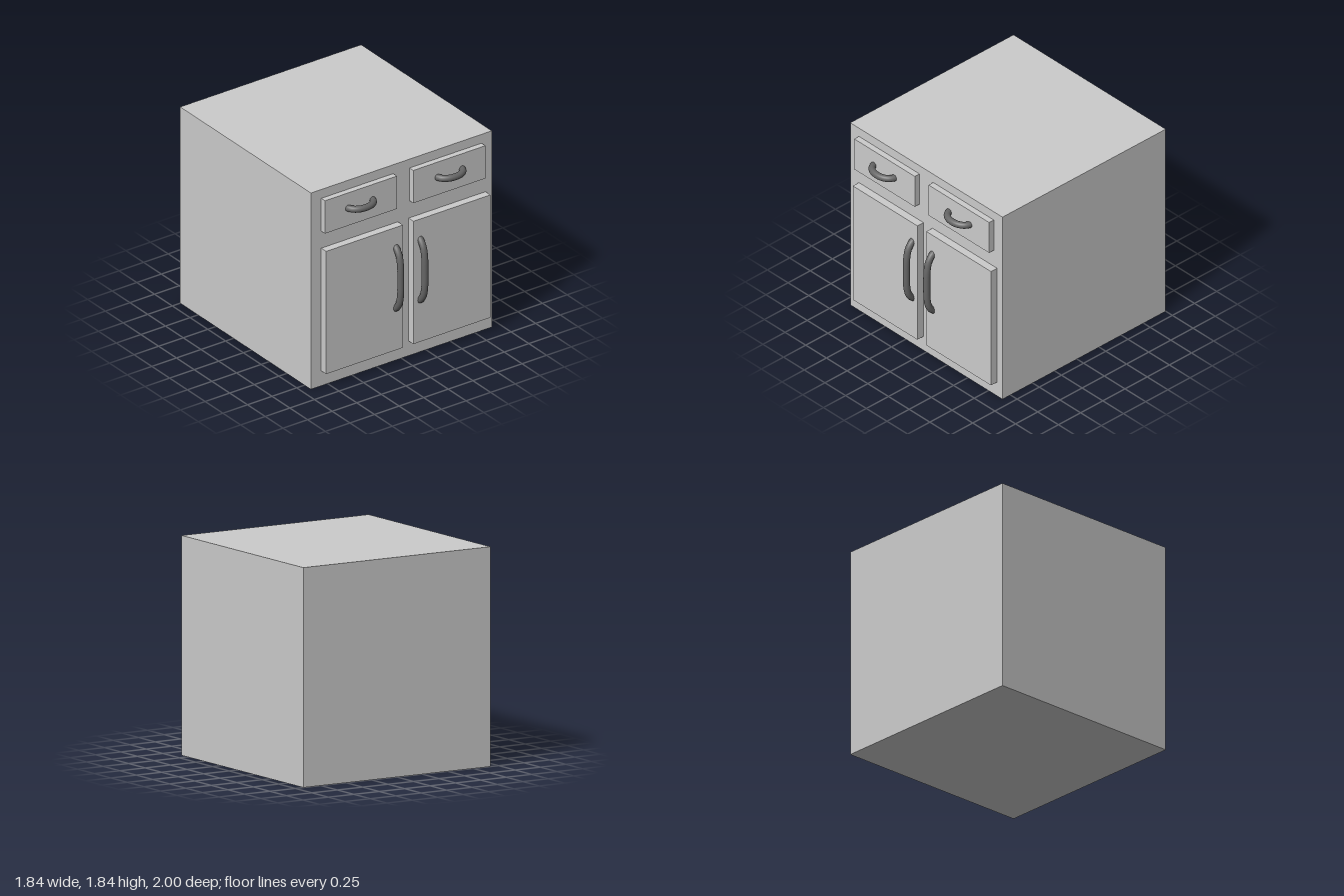
import * as THREE from 'three';

const bodyMat = new THREE.MeshStandardMaterial({ color: 0xcccccc });
const handleMat = new THREE.MeshStandardMaterial({ color: 0x666666 });

// Box given by its low and high corners
function slab(name, [x0, y0, z0], [x1, y1, z1]) {
  const mesh = new THREE.Mesh(new THREE.BoxGeometry(x1 - x0, y1 - y0, z1 - z0), bodyMat);
  mesh.position.set((x0 + x1) / 2, (y0 + y1) / 2, (z0 + z1) / 2);
  mesh.name = name;
  return mesh;
}

// Bowed bar along x, its ends sunk into the panel behind it
function handle(name, x, y, z, profile) {
  const right = profile.map(([u, d]) => new THREE.Vector3(u, 0, d));
  const left = right.slice(1).reverse().map((p) => new THREE.Vector3(-p.x, 0, p.z));
  const curve = new THREE.CatmullRomCurve3([...left, ...right]);
  const mesh = new THREE.Mesh(new THREE.TubeGeometry(curve, 32, 0.029, 16), handleMat);
  mesh.position.set(x, y, z);
  mesh.name = name;
  return mesh;
}

export function createModel() {
  const cabinet = new THREE.Group();
  cabinet.name = 'cabinet';
  cabinet.add(slab('carcass', [-0.92, 0, -1], [0.92, 1.84, 0.84]));

  // Half profiles: distance along the bar, depth in front of the panel
  const drawerBow = [[0, 0.08], [0.06, 0.07], [0.105, 0.04], [0.125, 0], [0.126, -0.03]];
  const doorBow = [[0, 0.062], [0.15, 0.057], [0.23, 0.037], [0.28, 0], [0.295, -0.03]];

  // Drawers, one on each side
  for (const [side, s] of [['left', 1], ['right', -1]]) {
    const cx = s * 0.449;
    cabinet.add(slab(side + 'DrawerFront', [cx - 0.366, 1.45, 0.84], [cx + 0.366, 1.757, 0.893]));
    cabinet.add(handle(side + 'DrawerHandle', s * 0.455, 1.615, 0.891, drawerBow));
  }

  // Doors, with upright handles near the middle
  for (const [side, x0, x1, hx] of [['left', 0.073, 0.855, 0.145], ['right', -0.815, -0.035, -0.101]]) {
    cabinet.add(slab(side + 'Door', [x0, 0.14, 0.84], [x1, 1.29, 0.909]));
    const bar = handle(side + 'DoorHandle', hx, 0.815, 0.909, doorBow);
    bar.rotation.z = Math.PI / 2;
    cabinet.add(bar);
  }
  return cabinet;
}
